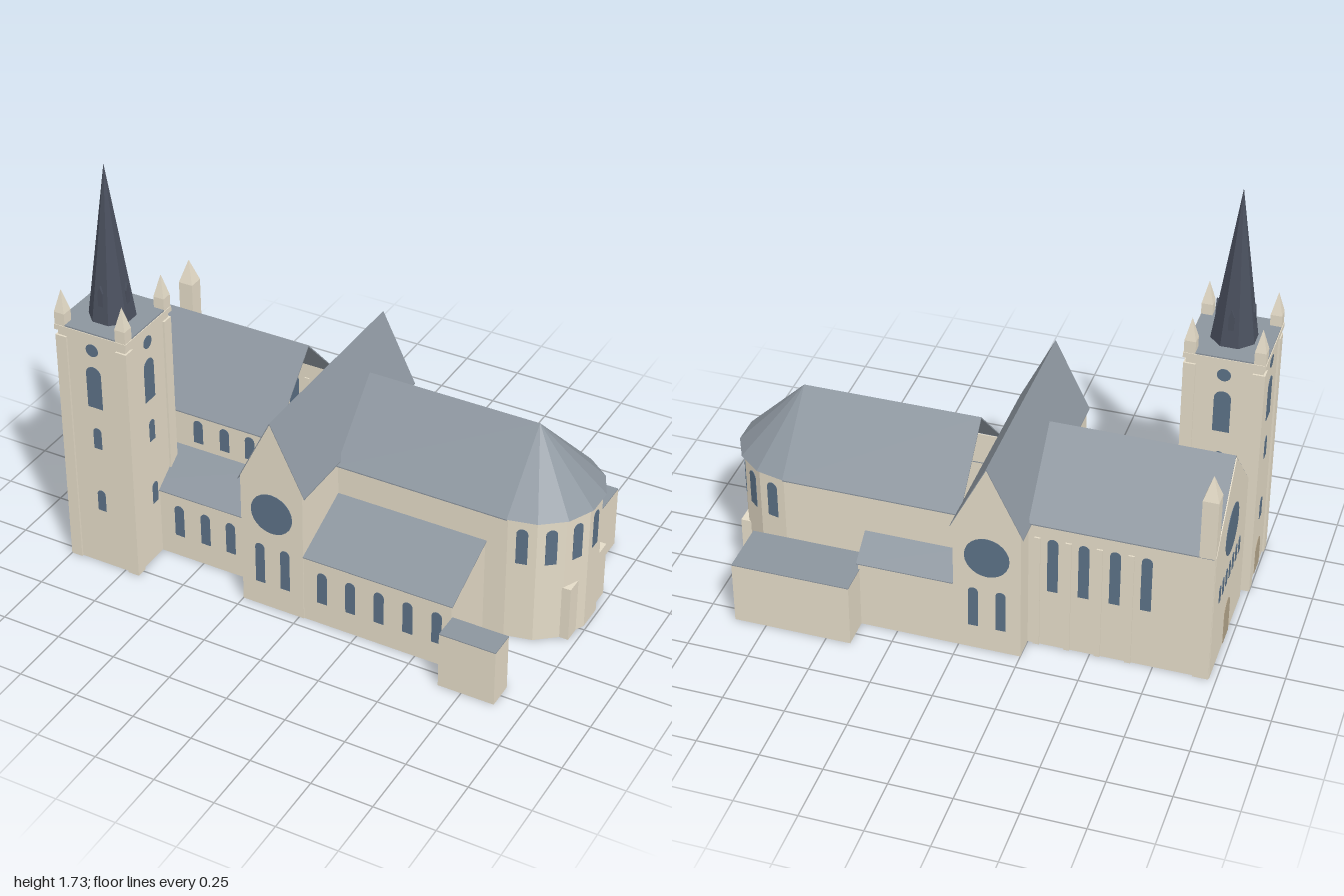
import * as THREE from 'three';

const mat = (color) => new THREE.MeshStandardMaterial({ color, flatShading: true, side: THREE.DoubleSide });

export function createModel() {
  const root = new THREE.Group();
  const stone = mat(0xe4dbc7), slate = mat(0x8c959e), lead = mat(0x4a505e), glass = mat(0x5c7186), wood = mat(0xb5a68c);

  const add = (name, geo, m) => {
    const mesh = new THREE.Mesh(geo, m);
    mesh.name = name;
    root.add(mesh);
    return mesh;
  };
  const box = (name, m, x0, x1, y0, y1, z0, z1) =>
    add(name, new THREE.BoxGeometry(x1 - x0, y1 - y0, z1 - z0)
      .translate((x0 + x1) / 2, (y0 + y1) / 2, (z0 + z1) / 2), m);
  // Four walls without floor or ceiling
  const walls = (name, x0, x1, h, z0, z1) =>
    add(name, new THREE.CylinderGeometry(Math.SQRT1_2, Math.SQRT1_2, 1, 4, 1, true).rotateY(Math.PI / 4)
      .scale(x1 - x0, h, z1 - z0).translate((x0 + x1) / 2, h / 2, (z0 + z1) / 2), stone);
  const extrude = (pts, depth) => new THREE.ExtrudeGeometry(
    new THREE.Shape(pts.map(([u, v]) => new THREE.Vector2(u, v))), { depth, bevelEnabled: false });
  // Profile of [z, y] points swept along x, or of [x, y] points swept along z
  const sweepX = (name, m, pts, x0, x1) =>
    add(name, extrude(pts.map(([z, y]) => [-z, y]), x1 - x0).rotateY(Math.PI / 2).translate(x0, 0, 0), m);
  const sweepZ = (name, m, pts, z0, z1) => add(name, extrude(pts, z1 - z0).translate(0, 0, z0), m);
  // Profiles: thin two-sided roof and gable wall, from a to b
  const chevron = (a, b, eave, ridge) => {
    const c = (a + b) / 2;
    return [[a, eave], [c, ridge], [b, eave], [b, eave - 0.005], [c, ridge - 0.007], [a, eave - 0.005]];
  };
  const gable = (a, b, eave, ridge) => [[a, 0], [b, 0], [b, eave], [(a + b) / 2, ridge], [a, eave]];

  // Thin pane on a wall; turn is the heading of the wall's outward side
  const pane = (name, shape, x, y, z, turn, m = glass) => {
    const g = new THREE.ExtrudeGeometry(shape, { depth: 0.004, bevelEnabled: false, curveSegments: 12 });
    const p = add(name, g.translate(0, 0, -0.002), m);
    p.position.set(x, y, z);
    p.rotation.y = turn;
  };
  const arch = (name, w, h, x, y, z, turn, m) => {
    const s = new THREE.Shape(), r = w / 2;
    s.moveTo(-r, 0);
    s.lineTo(r, 0);
    s.lineTo(r, h - r);
    s.absarc(0, h - r, r, 0, Math.PI, false);
    pane(name, s, x, y, z, turn, m);
  };
  const rose = (name, r, x, y, z, turn) =>
    pane(name, new THREE.Shape().absarc(0, 0, r, 0, Math.PI * 2, false), x, y, z, turn);

  const FRONT = 0, BACK = Math.PI, WEST = -Math.PI / 2;
  const axis = -0.078; // z of the church's long axis

  // Nave
  walls('naveWalls', -0.968, -0.25, 0.585, axis - 0.26, axis + 0.26);
  sweepX('naveRoof', slate, chevron(axis - 0.267, axis + 0.267, 0.582, 0.87), -0.968, -0.25);
  sweepX('westFront', stone, gable(axis - 0.26, axis + 0.26, 0.582, 0.862), -0.972, -0.968);
  [-0.605, -0.485, -0.37].forEach((x) => {
    arch('clerestoryWindow', 0.042, 0.105, x, 0.45, axis + 0.26, FRONT);
    arch('naveAisleWindow', 0.042, 0.145, x, 0.1, 0.343, FRONT);
  });
  for (let i = 0; i < 4; i++) {
    const x = -0.285 - i * 0.122;
    box('naveButtress', stone, x - 0.012, x + 0.012, 0, 0.52, axis - 0.267, axis - 0.255);
    arch('northNaveWindow', 0.042, 0.25, x - 0.061, 0.27, axis - 0.26, BACK);
  }

  // West front openings
  rose('westRose', 0.105, -0.972, 0.53, axis, WEST);
  for (let i = -3; i <= 3; i++) arch('westWindow', 0.026, 0.075, -0.972, 0.3, axis + i * 0.053, WEST);
  arch('westDoor', 0.09, 0.185, -0.972, 0, axis, WEST, wood);

  // Transept
  walls('transeptWalls', -0.25, 0.02, 0.59, -0.43, 0.45);
  sweepZ('transeptRoof', slate, chevron(-0.26, 0.03, 0.574, 0.87), -0.44, 0.457);
  [[0.45, 0.454, FRONT], [-0.434, -0.43, BACK]].forEach(([z0, z1, turn]) => {
    sweepZ('transeptGable', stone, gable(-0.25, 0.02, 0.588, 0.864), z0, z1);
    const z = turn === FRONT ? z1 : z0;
    rose('transeptRose', 0.09, -0.115, 0.45, z, turn);
    [-0.17, -0.06].forEach((x) => arch('transeptWindow', 0.04, 0.185, x, 0.11, z, turn));
  });

  // Choir and seven-sided apse
  const choirR = 0.254;
  [-1, 1].forEach((s) => {
    const z = axis + s * (choirR - 0.002);
    box('choirWall', stone, 0.02, 0.74, 0, 0.56, z - 0.002, z + 0.002);
  });
  sweepX('choirRoof', slate, chevron(axis - 0.267, axis + 0.267, 0.557, 0.83), 0.02, 0.74);
  add('apseWalls', new THREE.CylinderGeometry(choirR, choirR, 0.56, 7, 1, true, 0, Math.PI)
    .translate(0.74, 0.28, axis), stone);
  add('apseRoof', new THREE.ConeGeometry(0.267, 0.273, 7, 1, true, 0, Math.PI)
    .translate(0.74, 0.6935, axis), slate);
  const apothem = choirR * Math.cos(Math.PI / 14);
  for (let i = 0; i < 7; i++) {
    const a = (i + 0.5) * Math.PI / 7;
    arch('apseWindow', 0.045, 0.16, 0.74 + apothem * Math.sin(a), 0.355, axis + apothem * Math.cos(a), a);
  }

  // Lean-to aisles: inner and outer wall positions with their roof heights
  const aisle = (name, x0, x1, zIn, zOut, yIn, yOut) => {
    const s = Math.sign(zOut - zIn), z = zOut - s * 0.002, e = zOut + s * 0.006;
    box(name + 'Wall', stone, x0, x1, 0, yOut, z - 0.002, z + 0.002);
    sweepX(name + 'End', stone, [[zIn, 0], [zOut, 0], [zOut, yOut], [zIn, yIn]], x1 - 0.004, x1);
    sweepX(name + 'Roof', slate, [[zIn, yIn], [e, yOut - 0.003], [e, yOut + 0.001], [zIn, yIn + 0.004]], x0, x1 + 0.006);
  };
  aisle('naveAisle', -0.82, -0.25, 0.17, 0.343, 0.425, 0.297);
  aisle('southChoirAisle', 0.02, 0.65, 0.17, 0.45, 0.42, 0.297);
  aisle('northChoirAisle', 0.02, 0.405, -0.33, -0.434, 0.38, 0.3);
  for (let i = 0; i < 5; i++) arch('choirAisleWindow', 0.042, 0.145, 0.1 + i * 0.1225, 0.1, 0.45, FRONT);

  // Low annexes and plinth at the east end
  const annex = (name, top, x0, x1, h, z0, z1) => {
    walls(name + 'Walls', x0, x1, h - 0.004, z0, z1);
    box(name + 'Top', top, x0, x1, h - 0.004, h, z0, z1);
  };
  annex('northAnnex', slate, 0.4, 0.88, 0.272, -0.56, -0.335);
  annex('southAnnex', slate, 0.653, 0.885, 0.245, 0.447, 0.558);
  annex('apsePlinth', stone, 0.76, 0.97, 0.24, -0.245, 0.085);

  // Square pier with a pyramid cap
  const pinnacle = (name, x, z, w, y0, y1, y2) => {
    box(name + 'Shaft', stone, x - w / 2, x + w / 2, y0, y1, z - w / 2, z + w / 2);
    add(name + 'Cap', new THREE.ConeGeometry(w * Math.SQRT1_2, y2 - y1, 4).rotateY(Math.PI / 4)
      .translate(x, (y1 + y2) / 2, z), stone);
  };
  pinnacle('northWestPier', -0.939, -0.314, 0.062, 0, 0.838, 0.937);

  // Tower
  const tx = -0.842, tz = 0.376;
  const slab = (name, m, r, y0, y1) => box(name, m, tx - r, tx + r, y0, y1, tz - r, tz + r);
  walls('towerShaft', tx - 0.15, tx + 0.15, 1.06, tz - 0.15, tz + 0.15);
  slab('towerCornice', stone, 0.16, 1.06, 1.082);
  slab('towerTop', slate, 0.157, 1.082, 1.088);
  for (const sx of [-1, 1]) for (const sz of [-1, 1]) {
    const x = tx + sx * 0.134, z = tz + sz * 0.134;
    box('towerButtress', stone, x - 0.024, x + 0.024, 0, 1.035, z - 0.024, z + 0.024);
    pinnacle('towerPinnacle', tx + sx * 0.135, tz + sz * 0.135, 0.045, 1.08, 1.135, 1.228);
  }
  add('spire', new THREE.ConeGeometry(0.0925, 0.645, 8).rotateY(Math.PI / 8).translate(tx, 1.4095, tz), lead);
  for (let i = 0; i < 4; i++) {
    const a = i * Math.PI / 2, x = tx + 0.15 * Math.sin(a), z = tz + 0.15 * Math.cos(a);
    rose('towerRoundWindow', 0.027, x, 1.005, z, a);
    arch('belfryWindow', 0.066, 0.185, x, 0.745, z, a);
    arch('towerUpperWindow', 0.036, 0.095, x, 0.555, z, a);
    arch('towerLowerWindow', 0.036, 0.095, x, 0.26, z, a);
    const dormer = add('spireDormer', extrude([[-0.011, 1.15], [0.011, 1.15], [0.011, 1.215], [0, 1.245], [-0.011, 1.215]], 0.04), lead);
    dormer.geometry.translate(0, 0, 0.036);
    dormer.position.set(tx, 0, tz);
    dormer.rotation.y = a;
  }
  arch('towerDoor', 0.08, 0.15, tx - 0.15, 0, tz, WEST, wood);

  return root;
}
